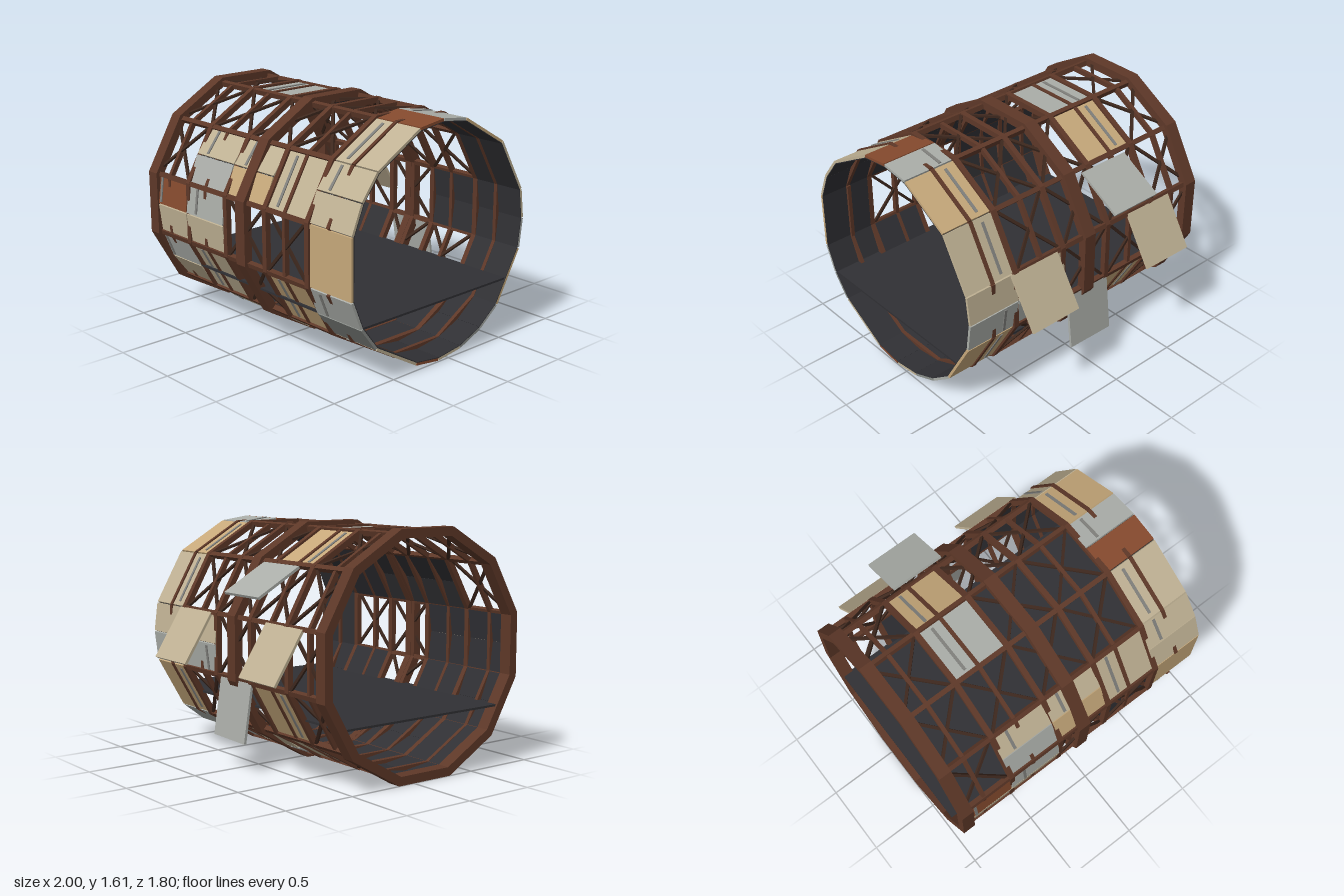
import * as THREE from 'three';

const CY = 0.805, CZ = 0.095, STEP = Math.PI / 6, SKIN_R = 0.785;

const mat = (color) => new THREE.MeshStandardMaterial({ color });
const frameMat = mat(0x5e3828), braceMat = mat(0x3e281e), darkMat = mat(0x303034), stripMat = mat(0x80807c);
const skins = {
  b: mat(0xc0b294), t: mat(0xc6a87a), g: mat(0xaaada8), d: mat(0x8a8e8a), r: mat(0x854a2e),
};

// Cladding per bay, twelve faces from the front (+z) over the top to the back and underneath.
// '' = open truss, one letter = flat panel, two letters = panel folded along its middle.
const bays = [
  ['br', '', '', '', '', '', '', '', '', 'gg', 'g', 'bg'],
  ['bg', 'gb', '', 'g', 't', '', '', 't', 'b', 'gb', 'bb', 'b'],
  ['', 'tb', '', '', '', '', '', '', 'bg', 'br', 'rb', ''],
  ['', 'b', '', '', '', '', 'bg', '', 'g', 'b', 't', 't'],
  ['t', 'bb', 'b', 'rg', 't', 'b', 'bg', 't', 'gd', 'br', 'b', 'dg'],
];

function box(parent, name, material, size, pos) {
  const mesh = new THREE.Mesh(new THREE.BoxGeometry(...size), material);
  mesh.name = name;
  mesh.position.set(...pos);
  parent.add(mesh);
  return mesh;
}

// Group on the tube axis whose local +z points outward at the given angle
function radial(parent, name, x, angle) {
  const g = new THREE.Group();
  g.name = name;
  g.position.set(x, CY, CZ);
  g.rotation.x = -angle;
  parent.add(g);
  return g;
}

function polygon(target, r) {
  const pts = [];
  for (let i = 0; i < 12; i++) {
    const a = (i + 0.5) * STEP;
    pts.push(new THREE.Vector2(r * Math.cos(a), r * Math.sin(a)));
  }
  return target.setFromPoints(pts);
}

// Twelve-sided hoop starting at x0
function hoop(parent, name, x0, width, outer, inner) {
  const shape = polygon(new THREE.Shape(), outer);
  shape.holes.push(polygon(new THREE.Path(), inner));
  const geo = new THREE.ExtrudeGeometry(shape, { depth: width, bevelEnabled: false });
  const mesh = new THREE.Mesh(geo, frameMat);
  mesh.name = name;
  mesh.rotation.y = Math.PI / 2;
  mesh.position.set(x0, CY, CZ);
  parent.add(mesh);
}

// Skin panel with dark lining and an outer batten
function panel(parent, x, angle, span, key, batten) {
  const g = radial(parent, 'hullPanel', x, angle);
  const h = 2 * SKIN_R * Math.sin(span / 2);
  const a = SKIN_R * Math.cos(span / 2);
  box(g, 'panelSkin', skins[key], [0.39, h - 0.006, 0.018], [0, 0, a + 0.002]);
  box(g, 'panelLining', darkMat, [0.39, h - 0.004, 0.005], [0, 0, a - 0.0095]);
  if (batten) box(g, 'panelBatten', stripMat, [0.02, h * 0.84, 0.008], [-0.09, 0, a + 0.013]);
}

export function createModel() {
  const model = new THREE.Group();
  model.name = 'panelledTube';

  // Heavy and light hoops
  for (const x of [-1, -0.045]) hoop(model, 'heavyHoop', x, 0.09, 0.833, 0.772);
  for (const x of [-0.6, -0.2, 0.2, 0.6]) hoop(model, 'lightHoop', x, 0.037, 0.812, 0.772);

  // Lengthwise bars along the corners
  for (let k = 0; k < 12; k++) {
    const g = radial(model, 'cornerBar', -0.19, (k + 0.5) * STEP);
    box(g, 'bar', frameMat, [1.62, 0.032, 0.035], [0, 0, 0.79]);
  }

  // Faces of each bay
  bays.forEach((faces, bay) => {
    const x = -0.8 + bay * 0.4;
    faces.forEach((code, k) => {
      const angle = k * STEP;
      const last = bay === 4;
      const g = radial(model, 'bayFrame', x, angle);
      // Middle post, sunk under the skin on the plain front panel of the end bay
      box(g, 'post', frameMat, [0.026, 0.41, 0.034], [0, 0, last && k === 0 ? 0.745 : 0.761]);

      if (code.length === 0) {
        // Crossed braces
        const w = 0.37, h = 0.4;
        for (const s of [-1, 1]) {
          const brace = box(g, 'brace', braceMat, [Math.hypot(w, h), 0.02, 0.016], [0.015, 0, 0.762 + s * 0.006]);
          brace.rotation.z = s * Math.atan2(h, w);
        }
      } else if (code.length === 1) {
        panel(model, x + 0.008, angle, STEP, code, !(last && k === 0));
      } else {
        [...code].forEach((key, i) =>
          panel(model, x + 0.008, angle + (i - 0.5) * STEP / 2, STEP / 2, key, i === 1));
      }
    });
  });

  // Inner deck
  box(model, 'deck', darkMat, [1.98, 0.014, 1.33], [0.005, 0.41, 0.11]);

  // Loose panels at the back: x, width, skin, upper (z, y), lower (z, y), roll
  const loose = [
    [-0.29, 0.38, 'g', [-0.51, 1.36], [-0.82, 1.185], 0],
    [-0.555, 0.385, 'b', [-0.68, 1.01], [-0.89, 0.68], 0.01],
    [0.465, 0.385, 'b', [-0.68, 1.01], [-0.89, 0.68], 0],
    [-0.01, 0.355, 'g', [-0.675, 0.6], [-0.73, 0.205], 0.02],
  ];
  for (const [x, w, key, top, low, roll] of loose) {
    const dz = top[0] - low[0], dy = top[1] - low[1];
    const plate = box(model, 'loosePanel', skins[key], [w, Math.hypot(dz, dy), 0.018],
      [x, (top[1] + low[1]) / 2, (top[0] + low[0]) / 2]);
    plate.rotation.set(Math.atan2(dz, dy), 0, roll);
  }
  return model;
}
